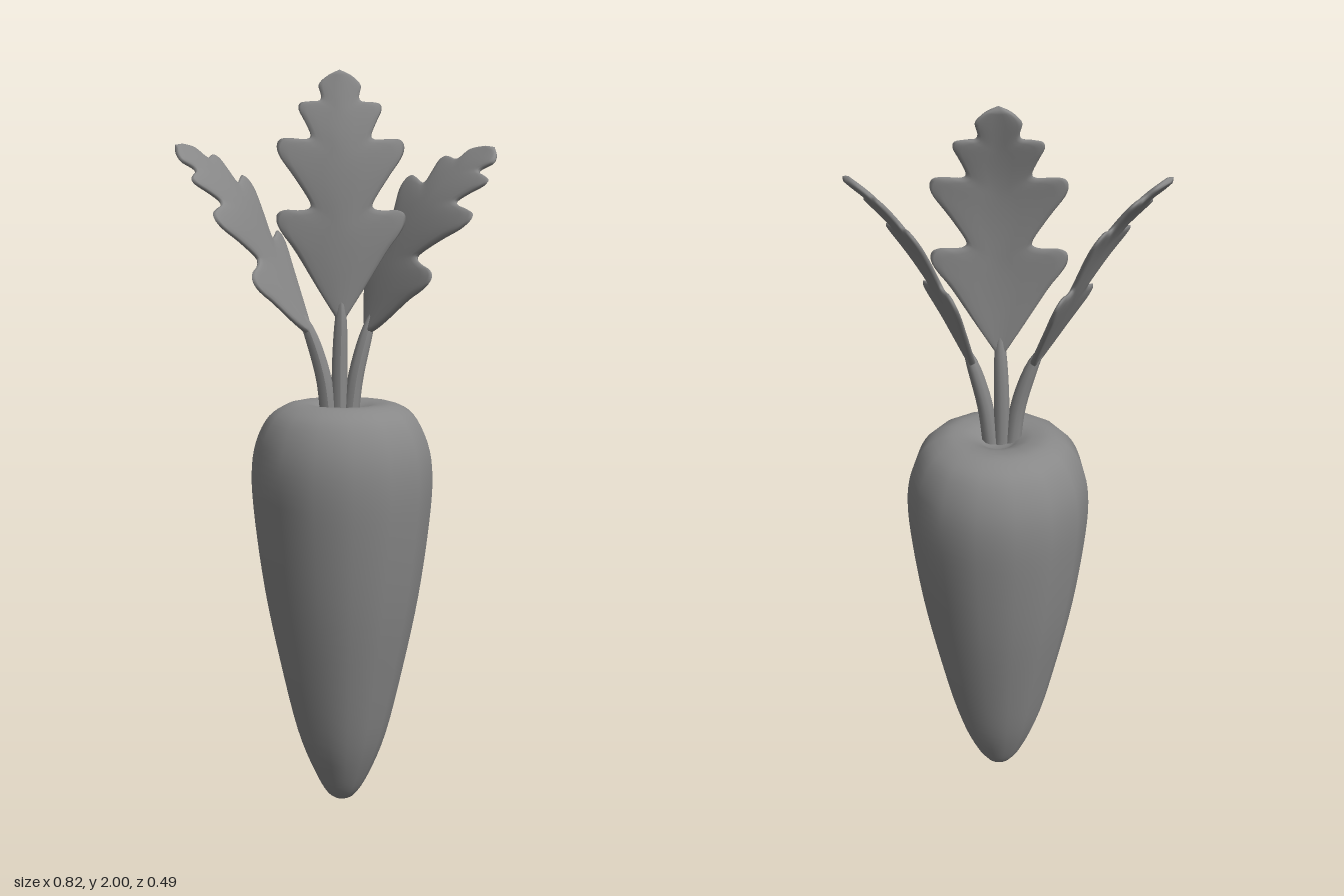
import * as THREE from 'three';

const material = new THREE.MeshStandardMaterial({ color: 0x888888 });
const V = (x, y, z) => new THREE.Vector3(x, y, z);
const LENGTH = 0.65, SWEEP = 0.6;

// Half width of a leaf (second value) along its midrib (first value): three lobes and a tip
const lobes = new THREE.SplineCurve([
  [0, 0.016], [0.044, 0.062], [0.105, 0.122], [0.13, 0.155], [0.15, 0.17], [0.175, 0.168],
  [0.197, 0.147], [0.215, 0.115], [0.235, 0.088], [0.255, 0.084], [0.295, 0.125],
  [0.325, 0.16], [0.35, 0.168], [0.375, 0.157], [0.395, 0.125], [0.412, 0.092], [0.43, 0.08],
  [0.458, 0.095], [0.48, 0.109], [0.5, 0.105], [0.518, 0.082], [0.533, 0.058], [0.55, 0.05],
  [0.585, 0.056], [0.61, 0.048], [0.632, 0.03], [0.65, 0],
].map(([m, w]) => new THREE.Vector2(m, w))).getPoints(104);

// Leaf blade: flat cross-sections that sweep forward along the veins of the lobes
function leafGeometry(midrib, across, { widen = 1, ease = 1, fold = 0.1 }) {
  const ring = 20, pos = [], index = [];
  lobes.forEach(({ x: m, y }, i) => {
    const w = Math.max(y, 0), sweep = SWEEP * Math.min(1, (LENGTH - m) / 0.1);
    for (let j = 0; j < ring; j++) {
      const a = (j / ring) * Math.PI * 2, c = Math.cos(a), s = Math.sin(a);
      const u = w * c;
      const f = THREE.MathUtils.clamp((m + sweep * Math.abs(u)) / LENGTH, 0, 1) ** ease;
      const normal = across.clone().cross(midrib.getTangentAt(f)).normalize();
      const thick = 0.009 * Math.min(1, w / 0.02) * Math.sign(s) * Math.abs(s) ** 0.5;
      const p = midrib.getPointAt(f)
        .addScaledVector(across, u * widen)
        .addScaledVector(normal, thick - fold * Math.abs(u));
      pos.push(p.x, p.y, p.z);
      if (i < lobes.length - 1) {
        const p0 = i * ring + j, p1 = i * ring + (j + 1) % ring;
        index.push(p0, p0 + ring, p1, p1, p0 + ring, p1 + ring);
      }
    }
  });
  const geo = new THREE.BufferGeometry();
  geo.setAttribute('position', new THREE.Float32BufferAttribute(pos, 3));
  geo.setIndex(index);
  geo.computeVertexNormals();
  return geo;
}

// Stem: a tube that thins towards the leaf and runs a little way into it
function stemGeometry(points) {
  const curve = new THREE.CatmullRomCurve3(points), steps = 12, sides = 10;
  const geo = new THREE.TubeGeometry(curve, steps, 0.023, sides);
  const pos = geo.attributes.position, v = V();
  for (let i = 0; i < pos.count; i++) {
    const t = Math.floor(i / (sides + 1)) / steps;
    const c = curve.getPointAt(t);
    v.fromBufferAttribute(pos, i).sub(c).multiplyScalar(1 - 0.2 * t - 0.6 * t ** 7).add(c);
    pos.setXYZ(i, v.x, v.y, v.z);
  }
  geo.computeVertexNormals();
  return geo;
}

function makeFrond(name, stem, midribPoints, across, options) {
  const frond = new THREE.Group();
  frond.name = name;
  const midrib = new THREE.CatmullRomCurve3(midribPoints);
  const blade = new THREE.Mesh(leafGeometry(midrib, across.normalize(), options), material);
  blade.name = 'leafBlade';
  const stalk = new THREE.Mesh(
    stemGeometry([...stem, midribPoints[0], midrib.getPointAt(0.1)]), material);
  stalk.name = 'stem';
  frond.add(blade, stalk);
  return frond;
}

export function createModel() {
  const model = new THREE.Group();
  model.name = 'carrot';

  // Root with rounded shoulders and a small dimple in the crown
  const profile = new THREE.SplineCurve([
    [0, 0], [0.035, 0.012], [0.075, 0.075], [0.124, 0.2], [0.172, 0.4], [0.212, 0.6],
    [0.239, 0.8], [0.247, 0.93], [0.234, 1.02], [0.198, 1.09], [0.145, 1.123],
    [0.095, 1.124], [0.06, 1.112], [0.035, 1.098], [0, 1.092],
  ].map(([r, y]) => new THREE.Vector2(r, y))).getPoints(56);
  profile.forEach((p) => { p.x = Math.max(p.x, 0); });
  const root = new THREE.Mesh(new THREE.LatheGeometry(profile, 15), material);
  root.name = 'root';
  root.position.x = 0.025;
  model.add(root);

  // Upright middle frond
  model.add(makeFrond('middleFrond',
    [V(0.015, 1.08, 0.02), V(0.015, 1.22, 0.02)],
    [V(0.018, 1.35, 0.022), V(0.02, 1.6, 0.03), V(0.02, 1.8, 0.018), V(0.02, 2, -0.03)],
    V(1, 0, 0), {}));

  // Broader fronds leaning out to each side
  for (const side of [1, -1]) {
    model.add(makeFrond(side > 0 ? 'leftFrond' : 'rightFrond',
      [V(0.015 + side * 0.028, 1.08, 0.02), V(0.015 + side * 0.044, 1.2, 0.02)],
      [V(0.012 + side * 0.078, 1.32, 0.015), V(side * 0.16, 1.505, 0.005),
        V(side * 0.25, 1.655, 0.04), V(side * 0.335, 1.745, 0.065), V(side * 0.41, 1.797, 0.09)],
      V(0.22, -0.27 * side, 0.94 * side), { widen: 1.3, ease: 1.12, fold: 0.04 }));
  }
  return model;
}
